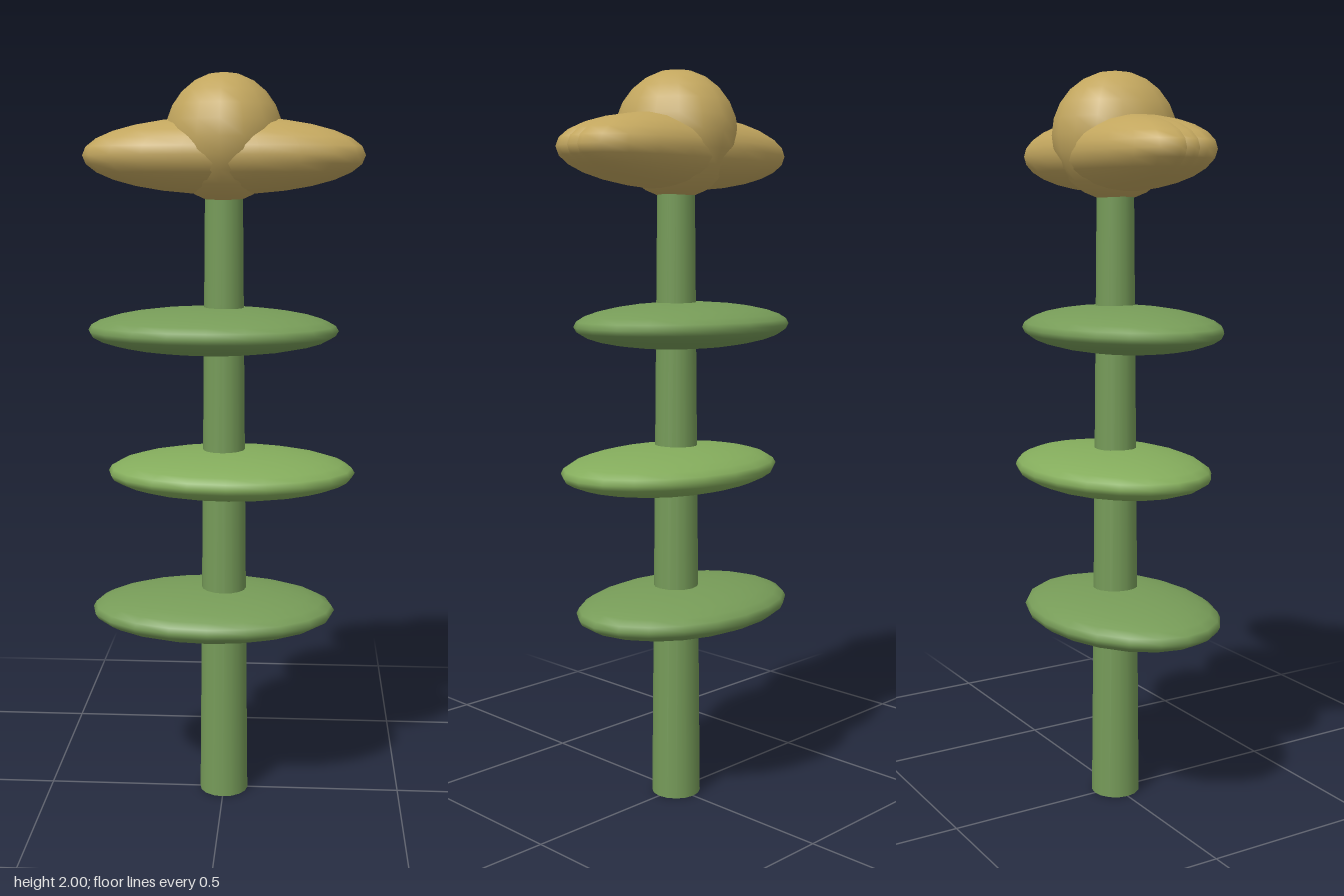
import * as THREE from 'three';

const material = (color) => new THREE.MeshStandardMaterial({ color });
const stemGreen = material(0x759a58);
const leafGreen = material(0x779c58);
const brightGreen = material(0x84ac5c);
const gold = material(0xc2a65e);

function ellipsoid(name, mat, radii, position, segments = 20, rings = 14) {
  const geometry = new THREE.SphereGeometry(1, segments, rings);
  const mesh = new THREE.Mesh(geometry, mat);
  mesh.name = name;
  mesh.scale.set(...radii);
  mesh.position.set(...position);
  return mesh;
}

export function createModel() {
  const model = new THREE.Group();
  model.name = 'flower';

  // Tapering stem, running up into the blossom
  const stem = new THREE.Mesh(new THREE.CylinderGeometry(0.05, 0.068, 1.75, 16), stemGreen);
  stem.name = 'stem';
  stem.position.y = 0.875;
  model.add(stem);

  // Flattened leaves, shifted alternately to either side
  [0.54, 0.935, 1.325].forEach((y, i) => {
    const middle = i === 1;
    model.add(ellipsoid('leaf' + (i + 1), middle ? brightGreen : leafGreen,
      [0.34, 0.064, 0.243], [middle ? 0.02 : -0.03, y, 0]));
  });

  // Overlapping long petals, fanned slightly about the stem
  const petals = new THREE.Group();
  petals.name = 'petals';
  for (const degrees of [-6, 0, 6]) {
    const petal = ellipsoid('petal', gold, [0.373, 0.101, 0.155], [0, 1.787, 0]);
    petal.rotation.y = THREE.MathUtils.degToRad(degrees);
    petals.add(petal);
  }
  model.add(petals);

  // Round flower centre
  model.add(ellipsoid('flowerCentre', gold, [0.157, 0.168, 0.172], [0, 1.832, 0], 16, 12));
  return model;
}
